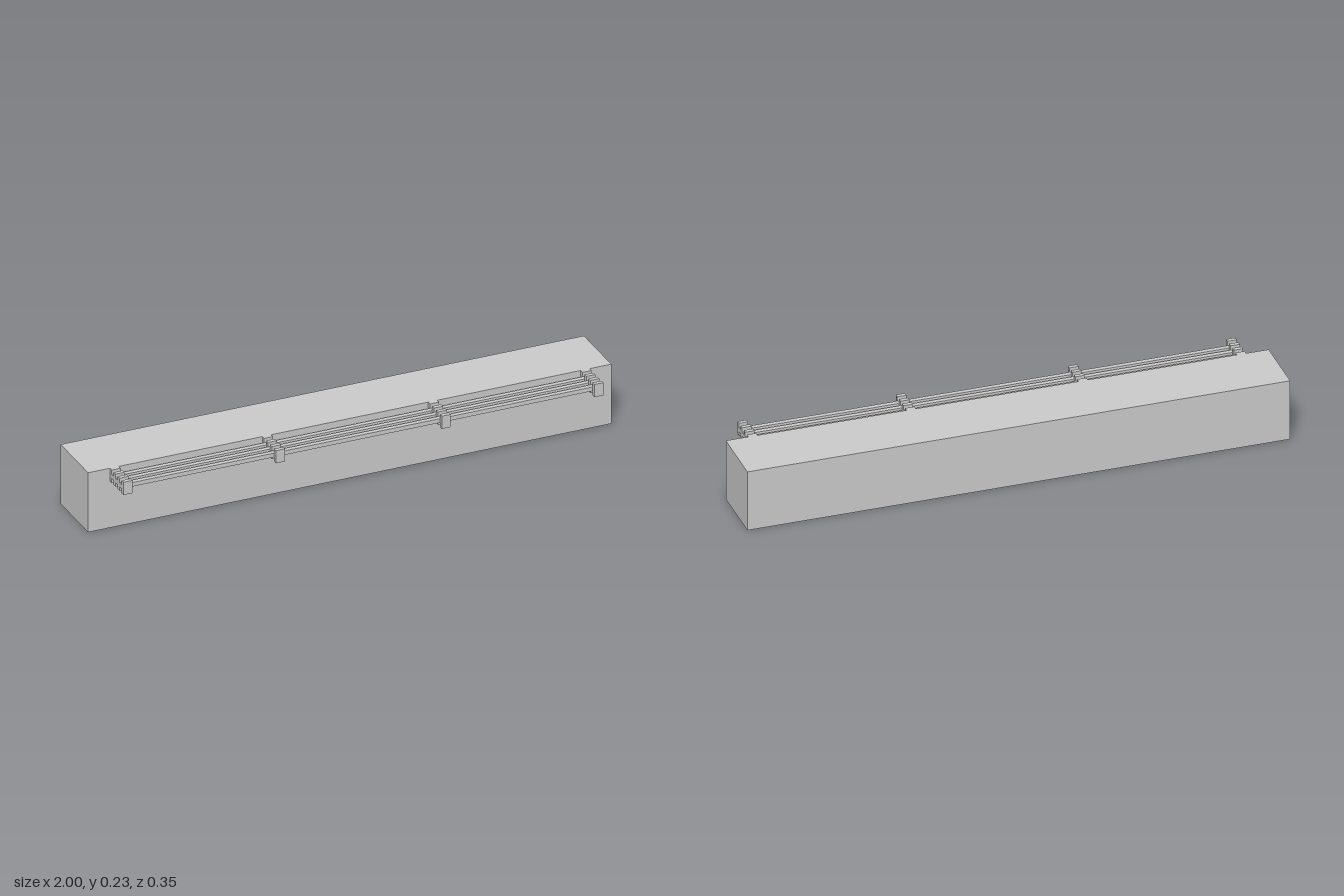
import * as THREE from 'three';

export function createModel() {
  const model = new THREE.Group();
  const material = new THREE.MeshStandardMaterial({ color: 0xcccccc, flatShading: true });

  // Box given by its lower and upper corners
  function addBox(parent, name, [x0, y0, z0], [x1, y1, z1]) {
    const mesh = new THREE.Mesh(new THREE.BoxGeometry(x1 - x0, y1 - y0, z1 - z0), material);
    mesh.position.set((x0 + x1) / 2, (y0 + y1) / 2, (z0 + z1) / 2);
    mesh.name = name;
    parent.add(mesh);
  }

  const top = 0.234, wall = 0.059, front = 0.175;

  // Long solid block
  addBox(model, 'mainBlock', [-1, 0, -0.175], [1, top, wall]);

  // Rack on the front: rows of spacers with rails running between them
  const rack = new THREE.Group();
  rack.name = 'frontRack';
  model.add(rack);

  const spacerDepth = 0.0155, spacerHalfWidth = 0.017;
  const pitch = (front - wall - spacerDepth) / 3;
  const postX = [-0.9, -0.317, 0.317, 0.9];

  for (let i = 0; i < 4; i++) {
    const z = wall + i * pitch;
    for (const x of postX) {
      addBox(rack, 'spacer', [x - spacerHalfWidth, 0.184, z], [x + spacerHalfWidth, top, z + spacerDepth]);
    }
    // Rail filling the gap to the next row of spacers
    if (i < 3) addBox(rack, 'rail', [-0.917, 0.201, z + spacerDepth], [0.917, 0.217, z + pitch]);
  }

  return model;
}
